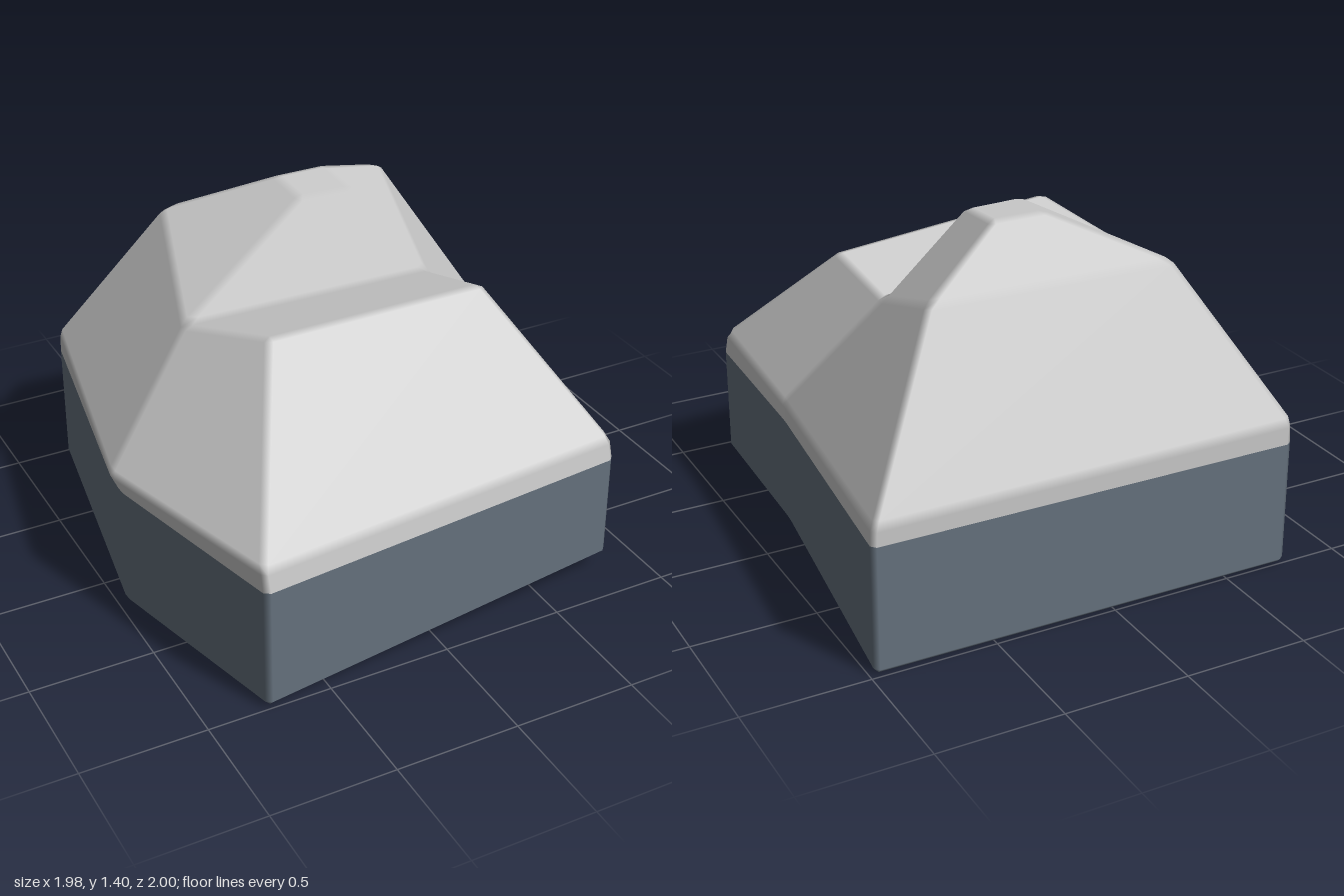
import * as THREE from 'three';

const V = (p) => new THREE.Vector3(...p);

// Builds a polyhedron with softly bevelled edges: every face is inset, then
// edges are bridged by strips and corners by fans that blend face normals.
function bevelled(points, faces, width) {
  const P = points.map(V);
  const owner = new Map(); // directed edge -> face index
  faces.forEach((f, i) => f.forEach((v, k) => owner.set(v + '>' + f[(k + 1) % f.length], i)));

  const pos = [], nor = [];
  const fan = (corners) => {
    for (let k = 1; k < corners.length - 1; k++) {
      for (const c of [corners[0], corners[k], corners[k + 1]]) {
        pos.push(c.p.x, c.p.y, c.p.z);
        nor.push(c.n.x, c.n.y, c.n.z);
      }
    }
  };

  // Inset faces
  const inset = faces.map((f) => {
    const n = new THREE.Vector3();
    for (let k = 1; k < f.length - 1; k++) {
      const a = P[f[k]].clone().sub(P[f[0]]);
      n.add(a.cross(P[f[k + 1]].clone().sub(P[f[0]])));
    }
    n.normalize();
    const corners = {};
    f.forEach((v, k) => {
      const prev = f[(k + f.length - 1) % f.length], next = f[(k + 1) % f.length];
      const inDir = P[v].clone().sub(P[prev]).normalize();
      const outDir = P[next].clone().sub(P[v]).normalize();
      const p = P[v].clone();
      if (!owner.has(next + '>' + v)) p.addScaledVector(outDir, width); // slide along the open seam
      else if (!owner.has(v + '>' + prev)) p.addScaledVector(inDir, -width);
      else {
        const n1 = n.clone().cross(inDir).normalize(), n2 = n.clone().cross(outDir).normalize();
        p.addScaledVector(n1.clone().add(n2), width / (1 + n1.dot(n2)));
      }
      corners[v] = { p, n, prev, next };
    });
    fan(f.map((v) => corners[v]));
    return corners;
  });

  // Edge strips
  for (const [key, i] of owner) {
    const [v, w] = key.split('>').map(Number);
    const j = owner.get(w + '>' + v);
    if (v < w && j !== undefined) fan([inset[i][v], inset[j][v], inset[j][w], inset[i][w]]);
  }

  // Corner fans
  P.forEach((_, v) => {
    const start = faces.findIndex((f) => f.includes(v));
    const ring = [];
    let i = start;
    do {
      ring.push(inset[i][v]);
      i = owner.get(v + '>' + inset[i][v].prev);
    } while (i !== undefined && i !== start);
    if (i === start && ring.length > 2) fan(ring);
  });

  const g = new THREE.BufferGeometry();
  g.setAttribute('position', new THREE.Float32BufferAttribute(pos, 3));
  g.setAttribute('normal', new THREE.Float32BufferAttribute(nor, 3));
  return g;
}

// Six quads joining two rings of six corners
const band = (lo, hi) => [0, 1, 2, 3, 4, 5].map((i) => {
  const j = (i + 1) % 6;
  return [lo + i, lo + j, hi + j, hi + i];
});

export function createModel() {
  const group = new THREE.Group();
  group.name = 'rock';

  // Rings run front right, front left, left middle, back left, back right, right middle
  const bottom = [
    [-0.76, 0.01, 1.005], [0.84, 0.07, 0.835], [0.87, 0.07, 0.08],
    [0.985, 0.005, -0.995], [-0.77, 0, -1.0], [-0.965, 0, 0.15],
  ];
  const seam = bottom.map(([x, , z]) => [x, 0.52, z]);
  const rim = [
    [-0.765, 0.61, 0.99], [0.83, 0.61, 0.825], [0.87, 0.6, 0.08],
    [0.985, 0.6, -1.0], [-0.77, 0.61, -1.0], [-1.0, 0.61, 0.15],
  ];
  const shoulder = [
    [-0.43, 1.16, 0.37], [0.545, 1.105, 0.275], [0.505, 1.02, -0.07],
    [0.605, 1.235, -0.675], [-0.39, 1.235, -0.695], [-0.59, 1.05, -0.045],
  ];
  const peak = [[0, 1.395, -0.215], [0.22, 1.39, -0.215], [0.22, 1.405, -0.425], [0, 1.405, -0.425]];

  // Dark lower block, open where it meets the cap
  const base = new THREE.Mesh(
    bevelled([...bottom, ...seam], [...band(0, 6), [5, 4, 3, 2, 1, 0]], 0.02),
    new THREE.MeshStandardMaterial({ color: 0x65717d }),
  );
  base.name = 'rockBase';

  // Pale cap with a front ledge, a low cliff and a faceted peak
  const cap = new THREE.Mesh(
    bevelled([...seam, ...rim, ...shoulder, ...peak], [
      ...band(0, 6), ...band(6, 12),
      [12, 13, 14, 17], // ledge
      [17, 14, 19, 18], // cliff
      [14, 15, 20, 19], [15, 16, 21, 20], [16, 17, 18, 21], // peak sides
      [18, 19, 20, 21], // summit
    ], 0.02),
    new THREE.MeshStandardMaterial({ color: 0xcccccc }),
  );
  cap.name = 'rockCap';

  group.add(base, cap);
  return group;
}
